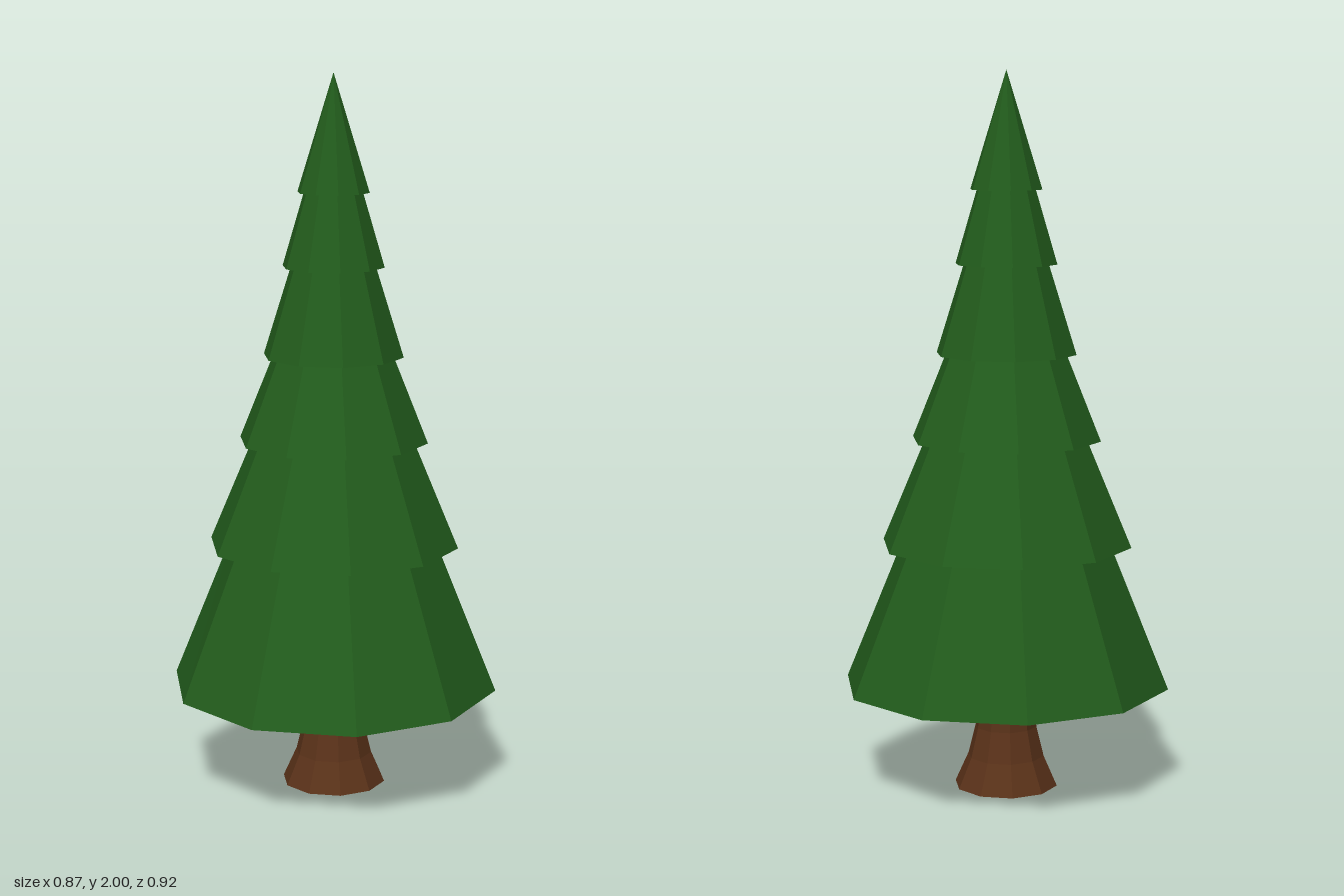
import * as THREE from 'three';

const SIDES = 10;

// Ten-sided lathe with corners on the z axis
function lathe(name, profile, color) {
  const points = profile.map(([r, y]) => new THREE.Vector2(r, y));
  const geometry = new THREE.LatheGeometry(points, SIDES);
  const material = new THREE.MeshStandardMaterial({ color, flatShading: true });
  const mesh = new THREE.Mesh(geometry, material);
  mesh.name = name;
  return mesh;
}

export function createModel() {
  const tree = new THREE.Group();
  tree.name = 'pineTree';

  // Flared trunk, running up into the lowest tier
  const trunk = lathe('trunk', [
    [0, 0], [0.146, 0], [0.108, 0.085], [0.087, 0.17], [0.077, 0.29], [0.066, 0.42],
  ], 0x5a3219);
  trunk.position.z = -0.005;
  tree.add(trunk);

  // Tiers: rim radius, rim height, radius where the tier tucks under the next
  const tiers = [
    [0.46, 0.288, 0.288],
    [0.352, 0.695, 0.222],
    [0.265, 0.99, 0.165],
    [0.196, 1.228, 0.116],
    [0.142, 1.475, 0.08],
    [0.1, 1.678, 0],
  ];

  // One profile: sloping underside, rim, then up to the next underside
  const profile = [[0.05, 0.415]];
  tiers.forEach(([rim, y, neck], i) => {
    profile.push([rim, y]);
    const next = tiers[i + 1];
    profile.push(next ? [neck, next[1] + 0.3 * (next[0] - neck)] : [0, 2]);
  });
  const foliage = lathe('foliage', profile, 0x225c1c);

  // Slight backward lean above the lowest rim, which itself tips up at the back
  const pos = foliage.geometry.attributes.position;
  for (let i = 0; i < pos.count; i++) {
    const y = pos.getY(i), z = pos.getZ(i);
    if (y < 0.3) pos.setY(i, y + 0.005 - 0.014 * z);
    else pos.setZ(i, z - 0.01);
  }
  foliage.geometry.computeVertexNormals();
  tree.add(foliage);

  return tree;
}
